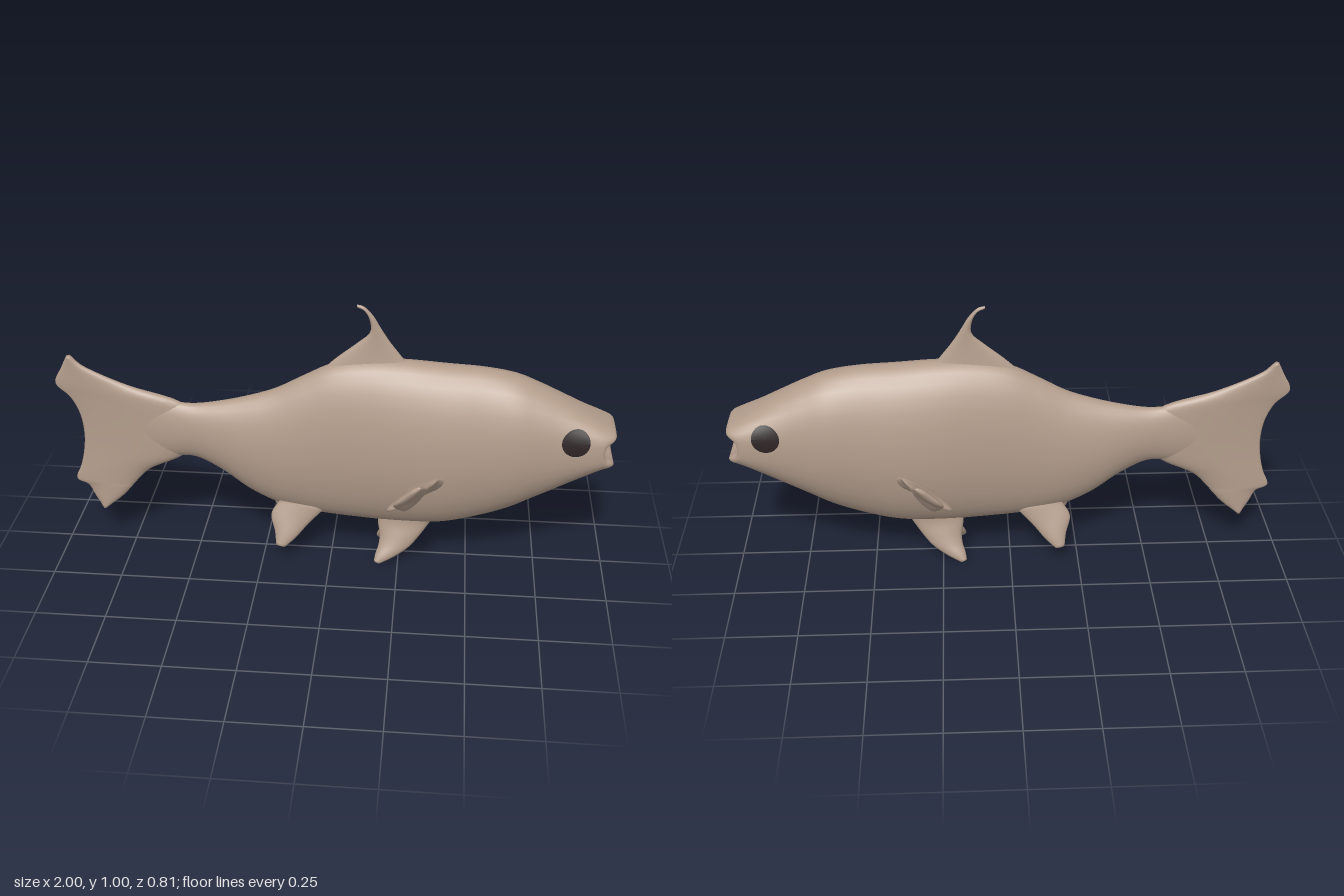
import * as THREE from 'three';

const SIDES = 32;
const V = (p) => new THREE.Vector3(...p);
const mat = (name, color, side = THREE.FrontSide) => {
  const m = new THREE.MeshStandardMaterial({ color, side });
  m.name = name;
  return m;
};

// A section runs between edge points a and b, with half thickness w,
// squareness n (2 = ellipse) and a backward notch at its middle.
const section = (a, b, w, n = 2, notch = 0) => ({ a: V(a), b: V(b), w, n, notch });
const upright = ([x, top, bottom, w, n, notch]) => section([x, top, 0], [x, bottom, 0], w, n, notch);

// Smooth interpolation between sections
function sampler(sections) {
  const curve = (f) => new THREE.CatmullRomCurve3(sections.map(f), false, 'catmullrom', 0.5);
  const a = curve((s) => s.a), b = curve((s) => s.b);
  const form = curve((s) => V([s.w, s.n, s.notch]));
  return (t) => {
    const f = form.getPoint(t);
    return { a: a.getPoint(t), b: b.getPoint(t), w: Math.max(f.x, 0.001), n: Math.max(f.y, 1.5), notch: Math.max(f.z, 0) };
  };
}

// Skin a row of sections, with optional closing caps
function loft(sections, capStart = true, capEnd = true, steps = 5) {
  const at = sampler(sections);
  const rows = (sections.length - 1) * steps;
  const mid = (s) => s.a.clone().add(s.b).multiplyScalar(0.5);
  const first = at(0), last = at(1);
  const chord = new THREE.Vector3();
  sections.forEach((s) => chord.add(s.a).sub(s.b));
  const normal = chord.cross(mid(last).sub(mid(first))).normalize();
  const pos = [], idx = [];
  const power = (v, n) => Math.sign(v) * Math.pow(Math.abs(v), 2 / n);
  for (let i = 0; i <= rows; i++) {
    const s = at(i / rows), m = mid(s), half = s.a.clone().sub(m);
    for (let j = 0; j < SIDES; j++) {
      const q = (j / SIDES) * Math.PI * 2;
      const p = m.clone().addScaledVector(half, power(Math.cos(q), s.n)).addScaledVector(normal, s.w * power(Math.sin(q), s.n));
      p.x -= s.notch * Math.pow(Math.sin(q), 6);
      pos.push(p.x, p.y, p.z);
      if (i < rows) {
        const k = i * SIDES + j, l = i * SIDES + (j + 1) % SIDES;
        idx.push(k, k + SIDES, l, l, k + SIDES, l + SIDES);
      }
    }
  }
  const cap = (s, base, flip) => {
    const c = pos.length / 3;
    pos.push(...mid(s).toArray());
    for (let j = 0; j < SIDES; j++) {
      const k = base + j, l = base + (j + 1) % SIDES;
      idx.push(c, flip ? l : k, flip ? k : l);
    }
  };
  if (capStart) cap(first, 0, false);
  if (capEnd) cap(last, rows * SIDES, true);
  const g = new THREE.BufferGeometry();
  g.setAttribute('position', new THREE.Float32BufferAttribute(pos, 3));
  g.setIndex(idx);
  g.computeVertexNormals();
  return g;
}

export function createModel() {
  const group = new THREE.Group();
  const skin = mat('skin', 0xb39d8c);
  const mouthRed = mat('mouthRed', 0x6e3829, THREE.DoubleSide);
  const eyeDark = mat('eyeDark', 0x2c2222, THREE.DoubleSide);
  const add = (name, geometry, material) => {
    const m = new THREE.Mesh(geometry, material);
    m.name = name;
    group.add(m);
  };

  // Body: x, top, bottom, half width, squareness, notch; the last rings roll into the lips
  const rim = [0.965, 0.56, 0.485, 0.085, 2.6, 0.015];
  const bodySections = [
    [-0.88, 0.55, 0.45, 0.006], [-0.72, 0.59, 0.40, 0.021], [-0.6, 0.6, 0.38, 0.034],
    [-0.5, 0.595, 0.38, 0.046], [-0.4, 0.61, 0.33, 0.064], [-0.3, 0.635, 0.255, 0.08],
    [-0.2, 0.67, 0.205, 0.092], [-0.1, 0.725, 0.178, 0.1], [0, 0.775, 0.165, 0.108],
    [0.12, 0.797, 0.156, 0.12], [0.25, 0.8, 0.15, 0.135], [0.4, 0.79, 0.157, 0.143],
    [0.53, 0.782, 0.19, 0.14], [0.64, 0.762, 0.237, 0.141, 2.1], [0.72, 0.73, 0.283, 0.132, 2.2],
    [0.8, 0.69, 0.33, 0.125, 2.3], [0.88, 0.647, 0.383, 0.122, 2.5], [0.95, 0.61, 0.43, 0.117, 3, 0.01],
    [0.99, 0.588, 0.45, 0.11, 3.4, 0.035], [0.995, 0.573, 0.466, 0.1, 3.2, 0.04], rim,
  ].map(upright);
  add('body', loft(bodySections, true, false), skin);
  add('mouth', loft([upright(rim), upright([0.9, 0.55, 0.49, 0.07, 2.6, 0])], false, true), mouthRed);

  // Tail fin: y, front x, rear x; thickness tapers towards the rear
  const tail = loft([
    [0.765, -0.935, -0.95], [0.72, -0.88, -0.972], [0.655, -0.73, -1.0], [0.6, -0.55, -0.95],
    [0.53, -0.5, -0.92], [0.45, -0.5, -0.912], [0.38, -0.55, -0.92], [0.32, -0.67, -0.935],
    [0.26, -0.73, -0.957], [0.235, -0.75, -0.915], [0.19, -0.79, -0.893], [0.14, -0.85, -0.866],
  ].map(([y, front, rear]) => section([front, y, 0], [rear, y, 0], 1)));
  const tp = tail.attributes.position;
  for (let i = 0; i < tp.count; i++) {
    tp.setZ(i, tp.getZ(i) * THREE.MathUtils.mapLinear(tp.getX(i), -1, -0.5, 0.007, 0.036));
  }
  tail.computeVertexNormals();
  add('tailFin', tail, skin);

  // Hooked dorsal fin
  add('dorsalFin', loft([
    section([0.3, 0.74, 0], [-0.08, 0.7, 0], 0.035), section([0.25, 0.805, 0], [0, 0.787, 0], 0.022),
    section([0.2, 0.87, 0], [0.085, 0.858, 0], 0.014), section([0.165, 0.925, 0], [0.13, 0.9, 0], 0.011),
    section([0.143, 0.962, 0], [0.13, 0.945, 0], 0.01), section([0.112, 0.995, 0], [0.112, 0.98, 0], 0.008),
    section([0.085, 1.004, 0], [0.085, 0.994, 0], 0.005),
  ]), skin);

  // Paired fins, each section as front edge, rear edge, half thickness
  const paired = {
    PectoralFin: [
      [[0.43, 0.39, 0.1], [0.29, 0.35, 0.1], 0.03], [[0.4, 0.412, 0.145], [0.265, 0.325, 0.145], 0.022],
      [[0.385, 0.43, 0.18], [0.22, 0.31, 0.185], 0.017], [[0.37, 0.437, 0.22], [0.215, 0.32, 0.22], 0.016],
      [[0.358, 0.45, 0.255], [0.265, 0.362, 0.25], 0.016], [[0.347, 0.468, 0.3], [0.27, 0.38, 0.31], 0.015],
      [[0.34, 0.495, 0.345], [0.24, 0.425, 0.36], 0.014], [[0.338, 0.515, 0.38], [0.25, 0.455, 0.385], 0.012],
      [[0.328, 0.53, 0.403], [0.3, 0.512, 0.403], 0.007],
    ],
    PelvicFin: [
      [[0.4, 0.22, 0.02], [0.18, 0.22, 0.02], 0.035], [[0.36, 0.15, 0.024], [0.172, 0.155, 0.022], 0.03],
      [[0.325, 0.1, 0.038], [0.18, 0.1, 0.038], 0.03], [[0.29, 0.062, 0.055], [0.177, 0.065, 0.055], 0.026],
      [[0.24, 0.03, 0.074], [0.168, 0.04, 0.072], 0.02], [[0.185, 0.006, 0.092], [0.163, 0.016, 0.09], 0.01],
    ],
    RearFin: [
      [[-0.02, 0.2, 0.03], [-0.19, 0.23, 0.04], 0.028], [[-0.08, 0.148, 0.06], [-0.22, 0.178, 0.055], 0.025],
      [[-0.125, 0.1, 0.085], [-0.205, 0.12, 0.08], 0.02], [[-0.165, 0.068, 0.105], [-0.198, 0.075, 0.103], 0.011],
    ],
  };

  // Eye: a thin disc laid on the side of the head
  const surface = sampler(bodySections);
  const sideZ = (x, y) => {
    let lo = 0, hi = 17 / (bodySections.length - 1);
    for (let i = 0; i < 25; i++) {
      const t = (lo + hi) / 2;
      if (surface(t).a.x < x) lo = t; else hi = t;
    }
    const s = surface(lo);
    const h = Math.abs((2 * y - s.a.y - s.b.y) / (s.a.y - s.b.y));
    return s.w * Math.pow(Math.max(1 - Math.pow(h, s.n), 0), 1 / s.n);
  };
  for (const side of [1, -1]) {
    const label = side > 0 ? 'front' : 'back';
    for (const [name, list] of Object.entries(paired)) {
      const flip = ([x, y, z]) => [x, y, z * side];
      add(label + name, loft(list.map(([a, b, w]) => section(flip(a), flip(b), w))), skin);
    }
    const eye = new THREE.RingGeometry(0.0005, 0.049, 28, 5).translate(0.855, 0.565, 0);
    const p = eye.attributes.position;
    for (let i = 0; i < p.count; i++) p.setZ(i, side * (sideZ(p.getX(i), p.getY(i)) + 0.003));
    if (side < 0) eye.setIndex([...eye.index.array].reverse());
    eye.computeVertexNormals();
    add(label + 'Eye', eye, eyeDark);
  }
  return group;
}
